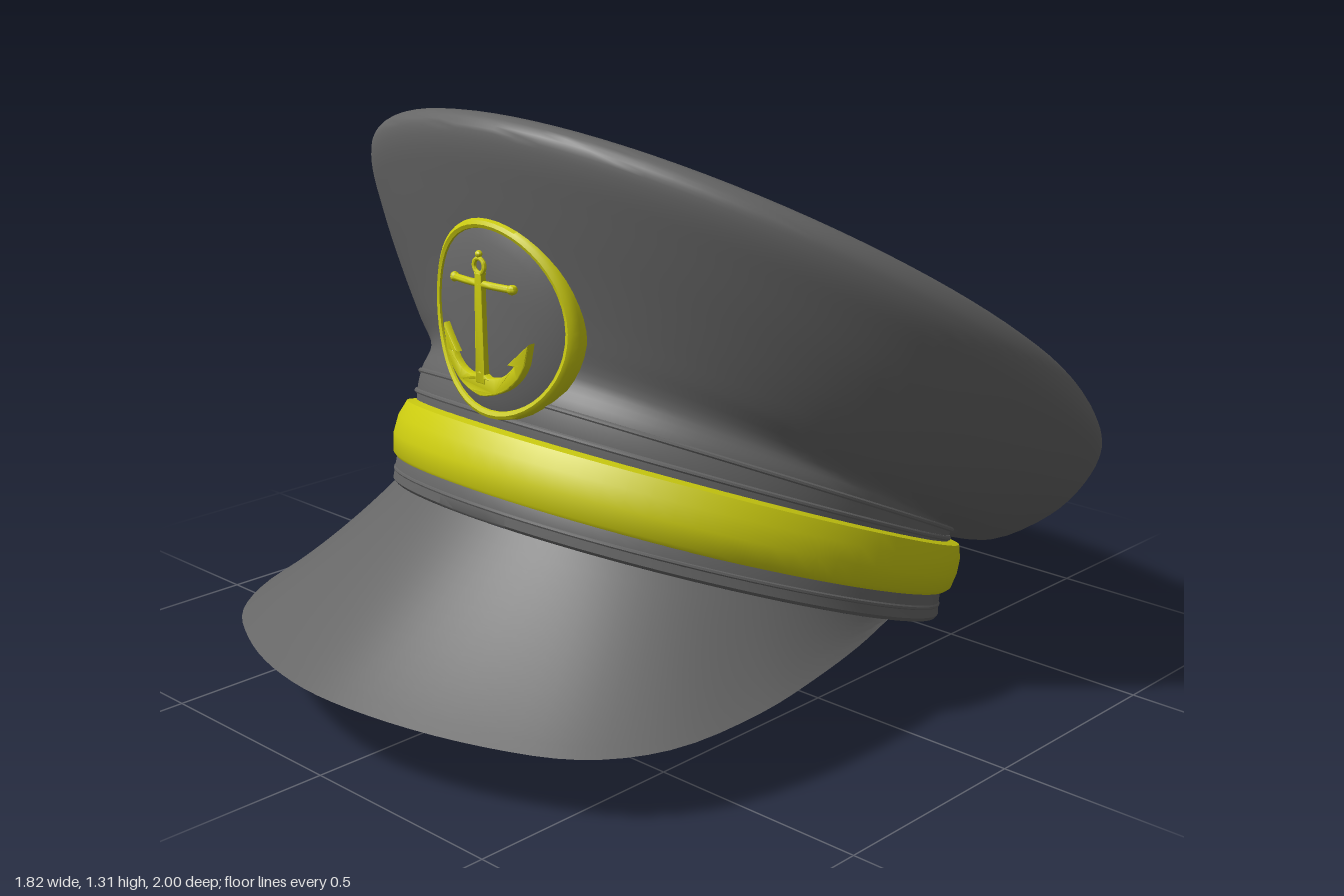
import * as THREE from 'three';
import { toCreasedNormals, mergeGeometries } from 'three/addons/utils/BufferGeometryUtils.js';

const darkGrey = new THREE.MeshStandardMaterial({ color: 0x666666 });
const yellow = new THREE.MeshStandardMaterial({ color: 0xcccc10 });

function part(name, geometry, material, crease = 0.7) {
  const mesh = new THREE.Mesh(toCreasedNormals(geometry, crease), material);
  mesh.name = name;
  return mesh;
}

// Surface through a grid of points, point(row, column) with both running 0..1
function gridSurface(rows, cols, point) {
  const pos = [], index = [];
  for (let i = 0; i <= rows; i++)
    for (let j = 0; j <= cols; j++) pos.push(...point(i / rows, j / cols));
  for (let i = 0; i < rows; i++)
    for (let j = 0; j < cols; j++) {
      const a = i * (cols + 1) + j, c = a + cols + 1;
      index.push(a, a + 1, c, a + 1, c + 1, c);
    }
  const g = new THREE.BufferGeometry();
  g.setAttribute('position', new THREE.Float32BufferAttribute(pos, 3));
  g.setIndex(index);
  return g;
}

// Point on a tilted oval ring [frontZ, frontY, backZ, backY, halfWidth, sideDrop];
// sideDrop lets the sides sink down and backwards
function onRing([fz, fy, bz, by, w, drop = 0], angle) {
  const c = Math.cos(angle), s = Math.sin(angle);
  return [
    w * s,
    (fy + by) / 2 + (fy - by) / 2 * c - drop * s * s,
    (fz + bz) / 2 + (fz - bz) / 2 * c - drop * s * s,
  ];
}

function loft(rings, cols = 80) {
  return gridSurface(rings.length - 1, cols, (v, u) =>
    onRing(rings[Math.round(v * (rings.length - 1))], u * Math.PI * 2));
}

// Adds smooth in-between rings
function refine(rings, steps) {
  const front = new THREE.CatmullRomCurve3(rings.map(r => new THREE.Vector3(r[0], r[1], r[4])));
  const back = new THREE.CatmullRomCurve3(rings.map(r => new THREE.Vector3(r[2], r[3], r[5] ?? 0)));
  const n = (rings.length - 1) * steps;
  return Array.from({ length: n + 1 }, (_, i) => {
    const f = front.getPoint(i / n), b = back.getPoint(i / n);
    return [f.x, f.y, b.x, b.y, Math.max(0, f.z), b.z];
  });
}

function piping(ring, radius) {
  const pts = Array.from({ length: 40 }, (_, i) => new THREE.Vector3(...onRing(ring, i / 40 * Math.PI * 2)));
  return new THREE.TubeGeometry(new THREE.CatmullRomCurve3(pts, true), 80, radius, 8, true);
}

const hemEdge = [0.575, 0.455, -0.63, 0.002, 0.66];

// Peak: top skin from the hem out to the rim, then the underside back to the chord
function visorGeometry() {
  const half = [[0.665, -0.03], [0.687, 0.1], [0.698, 0.25], [0.697, 0.42], [0.652, 0.64], [0.55, 0.79], [0.39, 0.89], [0.19, 0.968]];
  const outline = [...half, [0, 0.998], ...half.map(([x, z]) => [-x, z]).reverse()];
  const rim = new THREE.CatmullRomCurve3(outline.map(([x, z]) => new THREE.Vector3(x, 0, z)));
  const rimY = z => { const t = (z + 0.03) / 1.02; return 0.23 - 0.132 * t + 0.08 * t ** 5; };
  return gridSurface(28, 64, (v, u) => {
    const angle = (0.5 - u) * Math.PI;
    const c = Math.max(0, Math.cos(angle)), s = Math.sin(angle);
    const { x: rx, z: rz } = rim.getPoint(u);
    if (v <= 0.5) {
      const k = v * 2, [x, y, z] = onRing(hemEdge, angle);
      const sag = 0.08 * k * (1 - k) * c;
      return [x + (rx - x) * k, y + (rimY(rz) - y) * k - sag, z + (rz - z) * k];
    }
    const k = v * 2 - 1, z = rz + (-0.03 - rz) * k;
    return [rx + (0.665 * s - rx) * k, rimY(z) - 0.006 * Math.min(1, k * 14) * c, z];
  });
}

// Wraps badge pieces around the curved front of the crown
function bend(geometry) {
  const p = geometry.attributes.position;
  for (let i = 0; i < p.count; i++) p.setZ(i, p.getZ(i) - p.getX(i) ** 2);
  return geometry;
}

function turned(points) {
  const g = new THREE.LatheGeometry(points.map(p => new THREE.Vector2(...p)), 48);
  return bend(g.rotateX(Math.PI / 2));
}

function extruded(shape) {
  const g = new THREE.ExtrudeGeometry(shape, {
    depth: 0.016, bevelEnabled: true, bevelSize: 0.003, bevelThickness: 0.004, bevelSegments: 2, curveSegments: 16,
  });
  return bend(g.translate(0, 0, 0.012));
}

function anchorGeometry() {
  const shank = new THREE.Shape([[-0.008, 0.105], [-0.012, -0.13], [0.012, -0.13], [0.008, 0.105]]
    .map(p => new THREE.Vector2(...p)));
  // Crescent arms ending in slim barbed flukes
  const arms = new THREE.Shape();
  arms.moveTo(0, -0.158);
  arms.quadraticCurveTo(0.095, -0.145, 0.122, -0.072);
  arms.lineTo(0.132, -0.03);
  arms.lineTo(0.082, -0.078);
  arms.lineTo(0.1, -0.078);
  arms.quadraticCurveTo(0.07, -0.12, 0.022, -0.12);
  arms.lineTo(0, -0.105);
  arms.lineTo(-0.022, -0.12);
  arms.quadraticCurveTo(-0.07, -0.12, -0.1, -0.078);
  arms.lineTo(-0.082, -0.078);
  arms.lineTo(-0.132, -0.03);
  arms.lineTo(-0.122, -0.072);
  arms.quadraticCurveTo(-0.095, -0.145, 0, -0.158);
  const stock = bend(new THREE.CylinderGeometry(0.008, 0.008, 0.18, 10, 8).rotateZ(Math.PI / 2).translate(0, 0.083, 0.024));
  const ends = [-1, 1].map(side => bend(new THREE.SphereGeometry(0.011, 10, 8).translate(side * 0.09, 0.083, 0.024)));
  const ring = bend(new THREE.TorusGeometry(0.016, 0.005, 8, 20).translate(0, 0.122, 0.026));
  const knob = new THREE.SphereGeometry(0.008, 10, 8).translate(0, 0.147, 0.026);
  const pieces = [extruded(shank), extruded(arms), stock, ...ends, ring, knob];
  return mergeGeometries(pieces.map(g => (g.index ? g.toNonIndexed() : g)));
}

export function createModel() {
  const hat = new THREE.Group();
  hat.name = 'peakedCap';

  // Closed base and hem below the band
  hat.add(part('hem', loft([
    [-0.028, 0.228, -0.028, 0.228, 0],
    hemEdge,
    [0.58, 0.463, -0.635, 0.012, 0.668],
    [0.577, 0.485, -0.64, 0.032, 0.664],
    [0.572, 0.515, -0.652, 0.06, 0.66],
    [0.54, 0.56, -0.66, 0.1, 0.65],
  ]), darkGrey));
  hat.add(part('hemPiping', piping([0.573, 0.487, -0.637, 0.033, 0.661], 0.006), darkGrey));

  // Bulging hat band
  hat.add(part('band', loft([
    [0.53, 0.515, -0.63, 0.075, 0.64],
    [0.567, 0.511, -0.66, 0.063, 0.667],
    [0.575, 0.525, -0.675, 0.07, 0.68],
    [0.57, 0.57, -0.692, 0.1, 0.687],
    [0.555, 0.61, -0.704, 0.13, 0.685],
    [0.53, 0.642, -0.705, 0.158, 0.675],
    [0.49, 0.645, -0.66, 0.175, 0.63],
  ]), yellow));

  // Flared crown, rolled rim and flat sloping top
  hat.add(part('crown', loft(refine([
    [0.51, 0.6, -0.67, 0.12, 0.65],
    [0.505, 0.67, -0.68, 0.17, 0.65],
    [0.488, 0.725, -0.69, 0.18, 0.65],
    [0.455, 0.785, -0.71, 0.15, 0.66, 0.01],
    [0.46, 0.87, -0.78, 0.115, 0.73, 0.015],
    [0.485, 1.0, -0.9, 0.155, 0.825, 0.03],
    [0.52, 1.15, -0.97, 0.215, 0.885, 0.04],
    [0.542, 1.265, -0.998, 0.285, 0.912, 0.045],
    [0.536, 1.3, -0.982, 0.345, 0.902, 0.04],
    [0.5, 1.316, -0.93, 0.418, 0.868, 0.03],
    [0.42, 1.282, -0.86, 0.458, 0.8, 0.02],
    [0.1, 1.06, -0.5, 0.66, 0.37],
    [-0.2, 0.858, -0.2, 0.858, 0],
  ], 4), 96), darkGrey, 0.9));
  hat.add(part('crownSeamLower', piping([0.507, 0.668, -0.68, 0.17, 0.65], 0.006), darkGrey));
  hat.add(part('crownSeamUpper', piping([0.492, 0.718, -0.688, 0.178, 0.65], 0.006), darkGrey));

  hat.add(part('visor', visorGeometry(), darkGrey));

  // Round badge on the front of the crown
  const badge = new THREE.Group();
  badge.name = 'badge';
  badge.position.set(0, 0.878, 0.508);
  badge.add(part('badgePlate', turned([[0.205, -0.06], [0.205, 0], [0.17, 0.012], [0.1, 0.018], [0, 0.02]]), darkGrey));
  badge.add(part('badgeRim', turned([
    [0.195, -0.03], [0.217, -0.03], [0.219, -0.005], [0.214, 0.008], [0.206, 0.012], [0.198, 0.008], [0.195, -0.005], [0.195, -0.03],
  ]), yellow));
  badge.add(part('anchor', anchorGeometry(), yellow));
  hat.add(badge);

  return hat;
}
